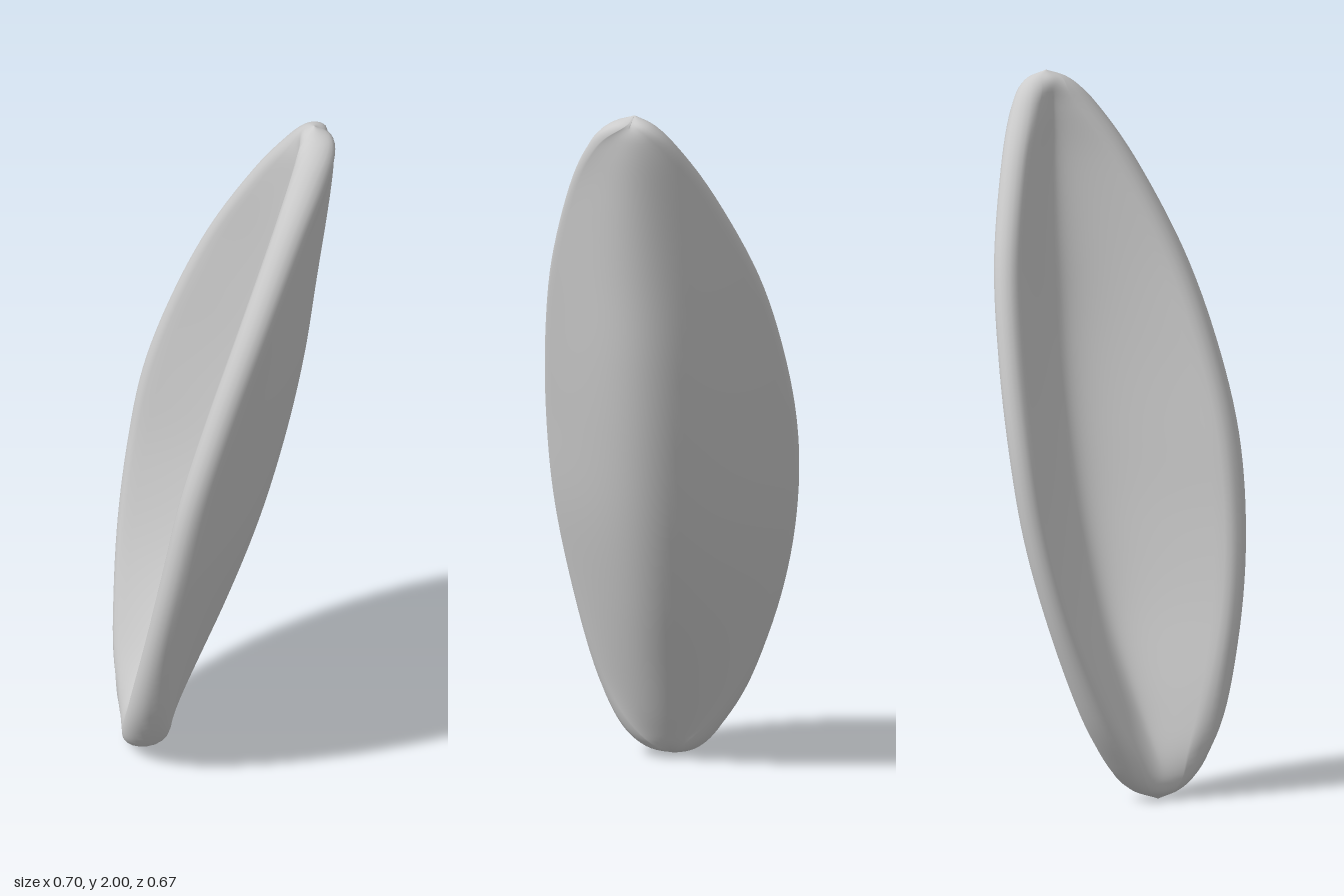
import * as THREE from 'three';

// Heights with: half width, half thickness, side offset, outer keel depth, rim depth
const SECTIONS = [
  [0.0, 0, 0, 0.06, 0.214, 0.214],
  [0.03, 0.082, 0.045, 0.06, 0.155, 0.228],
  [0.1, 0.15, 0.06, 0.06, 0.113, 0.233],
  [0.25, 0.23, 0.053, 0.052, 0.04, 0.228],
  [0.5, 0.308, 0.043, 0.04, -0.075, 0.2],
  [0.75, 0.355, 0.042, 0.033, -0.168, 0.16],
  [1.0, 0.368, 0.042, 0.03, -0.237, 0.11],
  [1.25, 0.349, 0.042, 0.032, -0.287, 0.03],
  [1.5, 0.302, 0.043, 0.037, -0.32, -0.068],
  [1.75, 0.212, 0.045, 0.047, -0.352, -0.18],
  [1.9, 0.132, 0.048, 0.052, -0.365, -0.255],
  [1.97, 0.07, 0.04, 0.052, -0.355, -0.29],
  [2.0, 0, 0, 0.05, -0.313, -0.313],
];

// Unit directions of the leaf in plan: across the blade and out of its hollow
const ACROSS = [0.933, 0.36];
const FORWARD = [-0.36, 0.933];

const SIDE_STEPS = 32; // along each face of the fold
const CAP_STEPS = 8; // round each rim
const RINGS = 72;
const ROUND = 0.5; // softness of the fold
const TILT = 0.08; // right wing reaches further forward than the left
const SWELL = 0.12; // and is a little thicker

// Closed folded outline: outer face, right rim, inner face, left rim
function sectionLoop(half, r, offset, keel, rim) {
  const w = Math.max(half - r, 0);
  const k = keel + r;
  const depth = rim - r * 0.7 - k;
  const span = Math.hypot(1, ROUND) - ROUND;
  const middle = (t) => {
    const h = Math.hypot(t, ROUND);
    const slope = (depth * t) / (h * span) + TILT * w;
    const len = Math.hypot(w, slope) || 1;
    return {
      s: offset + w * t,
      f: k + (depth * (h - ROUND)) / span + TILT * w * t,
      ts: w / len,
      tf: slope / len,
    };
  };
  const loop = [];
  // angle 0 lies on the outer face, PI on the inner face
  const add = (t, angle) => {
    const p = middle(t);
    const thick = r * (1 + SWELL * t);
    const c = Math.cos(angle) * thick, e = Math.sin(angle) * thick;
    loop.push([p.s + p.tf * c + p.ts * e, p.f - p.ts * c + p.tf * e]);
  };
  for (let i = 0; i <= SIDE_STEPS; i++) add(-1 + (2 * i) / SIDE_STEPS, 0);
  for (let i = 1; i < CAP_STEPS; i++) add(1, (Math.PI * i) / CAP_STEPS);
  for (let i = 0; i <= SIDE_STEPS; i++) add(1 - (2 * i) / SIDE_STEPS, Math.PI);
  for (let i = 1; i < CAP_STEPS; i++) add(-1, Math.PI + (Math.PI * i) / CAP_STEPS);
  return loop;
}

// Skin the outlines from the lower point to the upper point
function leafGeometry() {
  const spline = (a, b, c) => new THREE.CatmullRomCurve3(
    SECTIONS.map((q) => new THREE.Vector3(q[a], q[b], q[c])), false, 'catmullrom', 0.5);
  const shape = spline(1, 0, 2);
  const path = spline(3, 4, 5);
  const positions = [], index = [];
  let n = 0;
  for (let i = 0; i <= RINGS; i++) {
    const a = shape.getPoint(i / RINGS), b = path.getPoint(i / RINGS);
    const loop = sectionLoop(Math.max(a.x, 0), Math.max(a.z, 0), b.x, b.y, b.z);
    n = loop.length;
    for (const [s, f] of loop) {
      positions.push(s * ACROSS[0] + f * FORWARD[0], a.y, s * ACROSS[1] + f * FORWARD[1]);
    }
  }
  for (let i = 0; i < RINGS; i++) {
    for (let j = 0; j < n; j++) {
      const p = i * n + j, q = i * n + ((j + 1) % n);
      if (i > 0) index.push(p, p + n, q);
      if (i < RINGS - 1) index.push(q, p + n, q + n);
    }
  }
  const geometry = new THREE.BufferGeometry();
  geometry.setAttribute('position', new THREE.Float32BufferAttribute(positions, 3));
  geometry.setIndex(index);
  geometry.computeVertexNormals();
  return geometry;
}

export function createModel() {
  const group = new THREE.Group();
  group.name = 'foldedLeaf';
  const leaf = new THREE.Mesh(leafGeometry(), new THREE.MeshStandardMaterial({ color: 0xcccccc }));
  leaf.name = 'leafBlade';
  group.add(leaf);
  return group;
}
